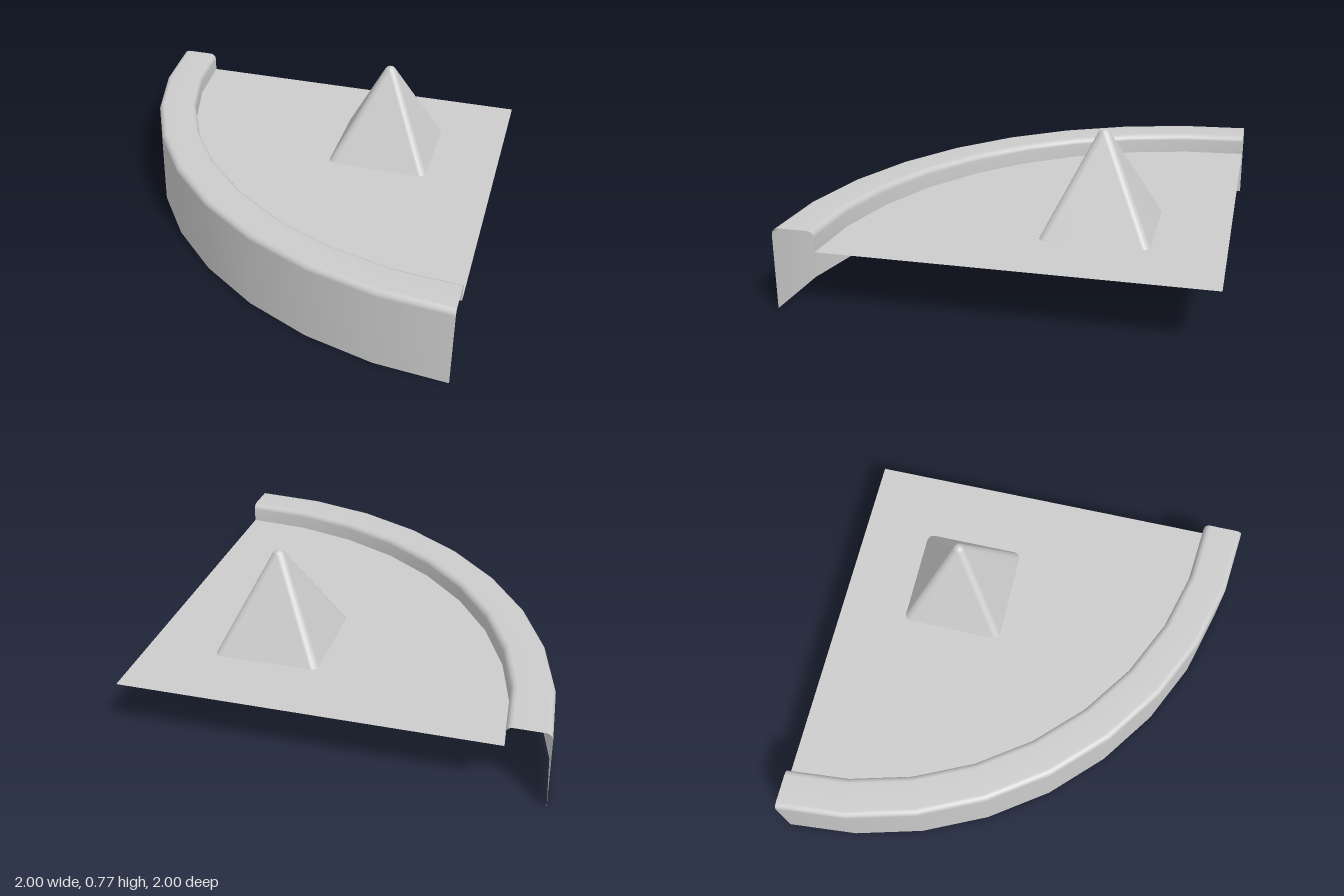
import * as THREE from 'three';

const SEGMENTS = 9, QUARTER = Math.PI / 2;
const FLOOR_Y = 0.3, INNER = 1.8, OUTER = 2, WALL_Y = 0.4;

// Quarter-round curb: outer skirt, filleted top and short inner lip
function curbGeometry() {
  const r = 0.03, steps = 3;
  const profile = [new THREE.Vector2(OUTER, 0)];
  for (const [cx, start] of [[OUTER - r, 0], [INNER + r, QUARTER]]) {
    for (let i = 0; i <= steps; i++) {
      const a = start + (QUARTER * i) / steps;
      profile.push(new THREE.Vector2(cx + r * Math.cos(a), WALL_Y - r + r * Math.sin(a)));
    }
  }
  profile.push(new THREE.Vector2(INNER, FLOOR_Y));
  return new THREE.LatheGeometry(profile, SEGMENTS, -QUARTER, QUARTER);
}

// Square pyramid with softened edges, lofted from rounded-square rings
function pyramidGeometry() {
  const R = 0.0316, topY = 0.775, cy = topY - R, corner = 4;
  const tilt = Math.atan(0.5);
  const rings = [{ y: 0, half: 0.257, r: 0.034 }];
  for (let i = 0; i <= 4; i++) { // spherical tip
    const e = tilt + ((QUARTER - tilt) * i) / 4;
    const r = Math.max(R * Math.cos(e), 0.0001);
    rings.push({ y: cy + R * Math.sin(e) - FLOOR_Y, half: r, r });
  }
  const pos = [], index = [], n = 4 * (corner + 1);
  for (const { y, half, r } of rings) {
    for (let q = 0; q < 4; q++) {
      const mid = (q + 0.5) * QUARTER, c = half - r;
      for (let i = 0; i <= corner; i++) {
        const a = (q + i / corner) * QUARTER;
        pos.push(c * Math.sign(Math.cos(mid)) + r * Math.cos(a), y,
          c * Math.sign(Math.sin(mid)) + r * Math.sin(a));
      }
    }
  }
  for (let k = 0; k < rings.length - 1; k++) {
    for (let i = 0; i < n; i++) {
      const a = k * n + i, b = k * n + ((i + 1) % n);
      index.push(a, a + n, b, b, a + n, b + n);
    }
  }
  const g = new THREE.BufferGeometry();
  g.setAttribute('position', new THREE.Float32BufferAttribute(pos, 3));
  g.setIndex(index);
  g.computeVertexNormals();
  return g;
}

export function createModel() {
  const group = new THREE.Group();
  group.name = 'quarterRoundPlatform';
  const material = new THREE.MeshStandardMaterial({ color: 0xcccccc, side: THREE.DoubleSide });
  const add = (name, geometry, x, y, z) => {
    const mesh = new THREE.Mesh(geometry, material);
    mesh.name = name;
    mesh.position.set(x, y, z);
    group.add(mesh);
  };

  // Curb and floor share the arc centre at the back corner
  add('curb', curbGeometry(), 1, 0, -1);
  add('floor', new THREE.CircleGeometry(INNER, SEGMENTS, Math.PI, QUARTER).rotateX(-QUARTER), 1, FLOOR_Y, -1);
  add('pyramid', pyramidGeometry(), 0.4, FLOOR_Y, -0.4);
  return group;
}
